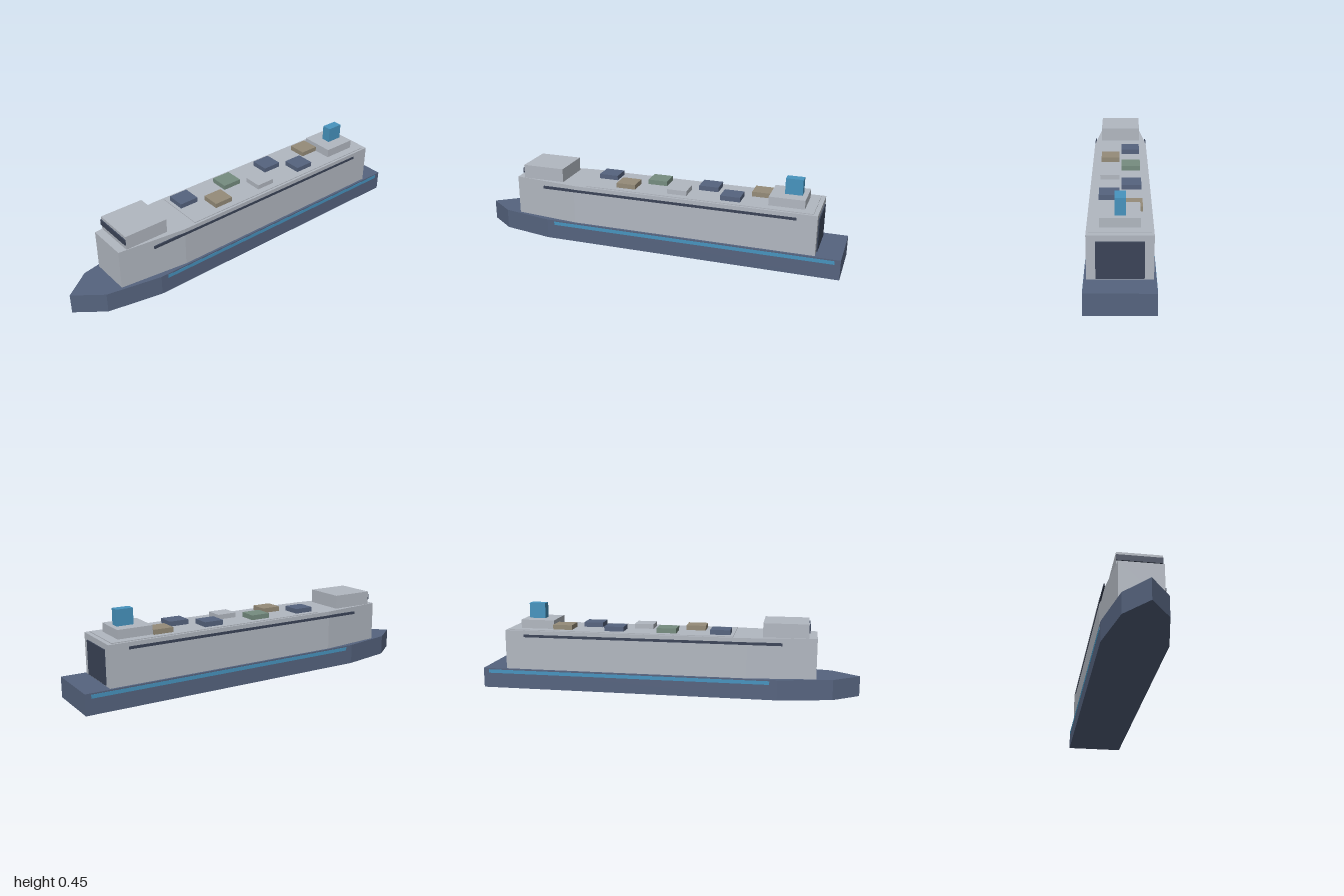
import * as THREE from 'three';

const mat = (name, color) => {
  const m = new THREE.MeshStandardMaterial({ color });
  m.name = name;
  return m;
};

export function createModel() {
  const ship = new THREE.Group();
  ship.name = 'carrierShip';

  const hullBlue = mat('hullBlue', 0x56647f);
  const paleGrey = mat('paleGrey', 0xb2b8c1);
  const dark = mat('darkGlass', 0x3b4458);
  const accent = mat('accentBlue', 0x4794bf);
  const tan = mat('tan', 0x958c79);
  const green = mat('green', 0x768d80);

  const add = (name, geometry, material) => {
    const mesh = new THREE.Mesh(geometry, material);
    mesh.name = name;
    ship.add(mesh);
    return mesh;
  };

  // Box given by its [min, max] range on each axis
  const box = (name, [x0, x1], [y0, y1], [z0, z1], material) =>
    add(name, new THREE.BoxGeometry(x1 - x0, y1 - y0, z1 - z0), material)
      .position.set((x0 + x1) / 2, (y0 + y1) / 2, (z0 + z1) / 2);

  // Upright prism from a mirrored plan outline of [half width, z] points, stern to bow
  const prism = (name, half, y0, y1, material) => {
    const left = half.map(([x, z]) => new THREE.Vector2(x, -z));
    const right = half.filter(([x]) => x > 0).map(([x, z]) => new THREE.Vector2(-x, -z)).reverse();
    const geometry = new THREE.ExtrudeGeometry(new THREE.Shape([...left, ...right]), {
      depth: y1 - y0, bevelEnabled: false,
    });
    geometry.rotateX(-Math.PI / 2).translate(0, y0, 0);
    add(name, geometry, material);
  };

  // Hull, superstructure and upper deck
  prism('hull', [[0.16, -1], [0.16, 0.58], [0.105, 0.86], [0, 1]], 0, 0.106, hullBlue);
  prism('superstructure', [[0.148, -0.872], [0.148, 0.42], [0.107, 0.775]], 0.106, 0.316, paleGrey);
  box('upperDeck', [-0.136, 0.136], [0.314, 0.32], [-0.85, 0.35], paleGrey);

  // Side stripes
  for (const [label, s] of [['left', 1], ['right', -1]]) {
    const strip = (inner, outer) => (s > 0 ? [inner, outer] : [-outer, -inner]);
    box(label + 'WindowBand', strip(0.143, 0.15), [0.281, 0.295], [-0.77, 0.6], dark);
    box(label + 'HullStripe', strip(0.155, 0.161), [0.08, 0.099], [-0.97, 0.54], accent);
  }

  // Stern door
  box('sternDoor', [-0.107, 0.107], [0.112, 0.286], [-0.878, -0.87], dark);

  // Bridge with its window band
  box('bridge', [-0.11, 0.11], [0.316, 0.389], [0.5, 0.732], paleGrey);
  box('bridgeWindow', [-0.11, 0.11], [0.343, 0.373], [0.731, 0.738], dark);

  // Funnel on its base
  box('funnelBase', [-0.091, 0.091], [0.316, 0.366], [-0.8, -0.618], paleGrey);
  box('funnel', [-0.025, 0.025], [0.366, 0.448], [-0.775, -0.687], accent);

  // Deck cargo, alternating between the two sides
  [hullBlue, tan, green, paleGrey, hullBlue, hullBlue, tan].forEach((material, i) => {
    const x = i % 2 ? 0.053 : -0.055;
    const z = 0.28 - i * 0.141;
    box('deckCargo' + (i + 1), [x - 0.049, x + 0.049], [0.32, 0.345], [z - 0.052, z + 0.052], material);
  });

  return ship;
}
